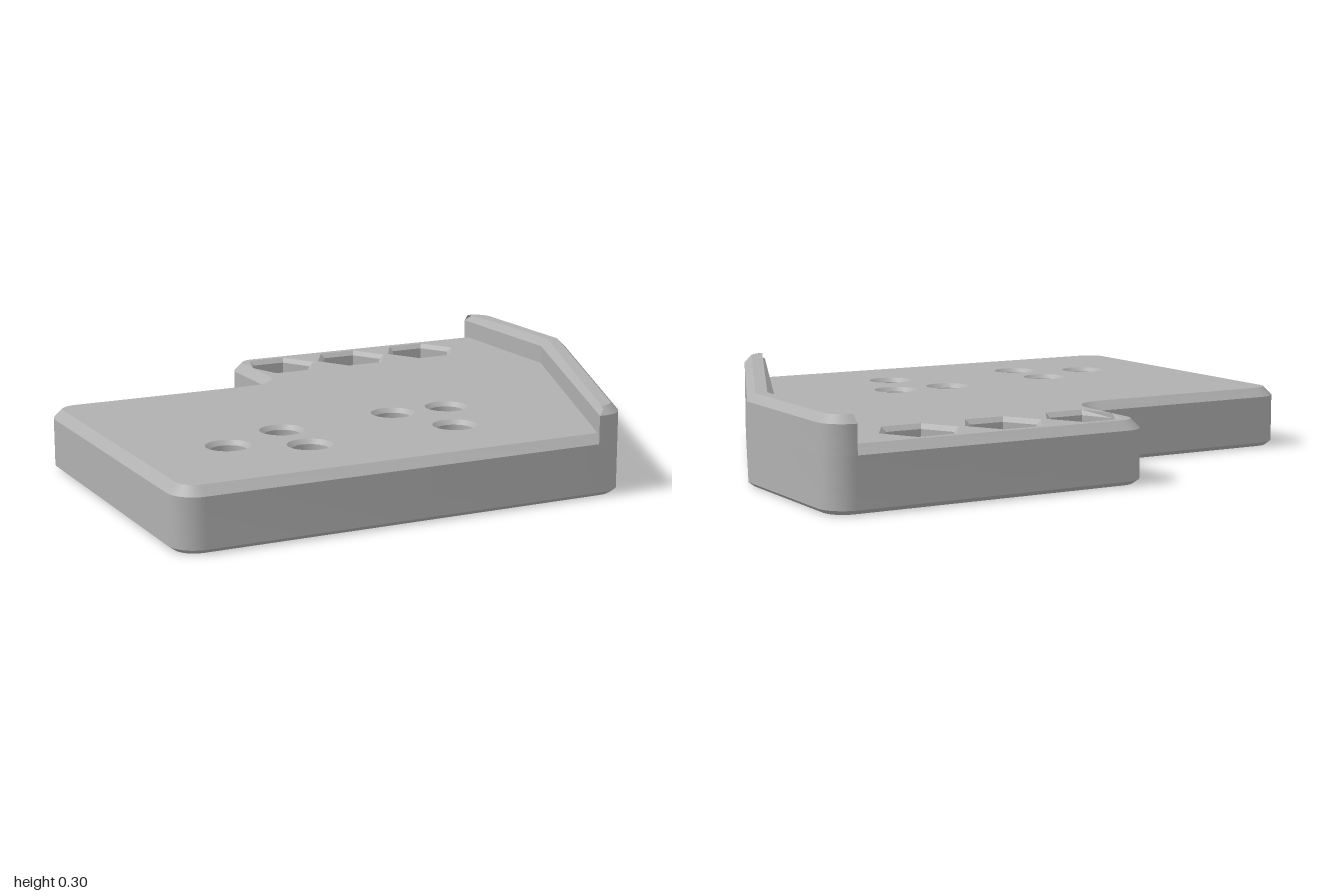
import * as THREE from 'three';
import { toCreasedNormals } from 'three/addons/utils/BufferGeometryUtils.js';

// Closed outline in (x, z) from corners [x, z, fillet radius]
function outline(corners) {
  const pts = [];
  corners.forEach(([x, z, r], i) => {
    const p = new THREE.Vector2(x, z);
    if (!r) return pts.push(p);
    const a = corners.at(i - 1), b = corners[(i + 1) % corners.length];
    const u = p.clone().sub(new THREE.Vector2(a[0], a[1])).normalize();
    const v = new THREE.Vector2(b[0], b[1]).sub(p).normalize();
    const turn = Math.atan2(u.cross(v), u.dot(v));
    const n = new THREE.Vector2(-u.y, u.x).multiplyScalar(Math.sign(turn) * r);
    const start = p.clone().addScaledVector(u, -r * Math.tan(Math.abs(turn) / 2));
    const c = start.clone().add(n);
    for (let k = 0; k <= 8; k++) pts.push(start.clone().rotateAround(c, turn * k / 8));
  });
  return pts;
}

// Move every edge of an outline inwards by d
function inset(pts, d) {
  return pts.map((p, i) => {
    const u = p.clone().sub(pts.at(i - 1)).normalize();
    const v = pts[(i + 1) % pts.length].clone().sub(p).normalize();
    const n = new THREE.Vector2(-u.y - v.y, u.x + v.x);
    return p.clone().addScaledVector(n, d / (1 + u.dot(v)));
  });
}

function ring(x, z, r, sides) {
  return Array.from({ length: sides }, (_, i) => {
    const a = i / sides * Math.PI * 2;
    return new THREE.Vector2(x + r * Math.cos(a), z + r * Math.sin(a));
  });
}

// Collects walls and caps into one surface
class Surface {
  constructor() { this.pos = []; }
  tri(...v) { for (const [p, y] of v) this.pos.push(p.x, y, p.y); }
  // Walls through [points, y] loops: low to high faces out, high to low faces in
  walls(loops) {
    for (let k = 0; k + 1 < loops.length; k++) {
      const [a, ya] = loops[k], [b, yb] = loops[k + 1];
      a.forEach((p, i) => {
        const j = (i + 1) % a.length;
        this.tri([p, ya], [b[i], yb], [b[j], yb]);
        this.tri([p, ya], [b[j], yb], [a[j], ya]);
      });
    }
  }
  cap(contour, holes, y, up) {
    const all = [contour, ...holes].flat();
    for (const f of THREE.ShapeUtils.triangulateShape(contour, holes)) {
      const [a, b, c] = f.map(i => all[i]);
      const facesUp = b.clone().sub(a).cross(c.clone().sub(a)) < 0;
      if (facesUp === up) this.tri([a, y], [b, y], [c, y]);
      else this.tri([a, y], [c, y], [b, y]);
    }
  }
  mesh(name, material) {
    const g = new THREE.BufferGeometry();
    g.setAttribute('position', new THREE.Float32BufferAttribute(this.pos, 3));
    const m = new THREE.Mesh(toCreasedNormals(g, 0.3), material);
    m.name = name;
    return m;
  }
}

export function createModel() {
  const group = new THREE.Group();
  group.name = 'mountingPlate';
  const grey = new THREE.MeshStandardMaterial({ color: 0xb0b0b0 });
  grey.name = 'plain grey';
  const top = 0.21, R = 0.09;

  // Plate with chamfered rims
  const plate = new Surface();
  const edge = outline([
    [-1, -0.4, R], [-0.14, -0.4, R], [-0.14, -0.82, R], [1, -0.82, R],
    [1, -0.22, 0], [0.563, 0.815, R], [-1, 0.815, R],
  ]);
  const bottomEdge = inset(edge, 0.02), topEdge = inset(edge, 0.03);
  plate.walls([[bottomEdge, 0], [edge, 0.015], [edge, 0.18], [topEdge, top]]);
  const topHoles = [], bottomHoles = [];

  // Round through holes, chamfered at both ends
  const holes = [[-0.655, 0.39], [-0.415, 0.28], [-0.415, 0.495], [0.025, 0.23], [0.235, 0.23], [0.13, 0.475]];
  for (const [x, z] of holes) {
    const wide = ring(x, z, 0.075, 32), bore = ring(x, z, 0.061, 32);
    plate.walls([[wide, top], [bore, top - 0.015], [bore, 0.015], [wide, 0]]);
    topHoles.push(wide);
    bottomHoles.push(wide);
  }

  // Hexagonal nut pockets with a bore through the floor
  const floor = 0.09;
  for (const x of [0.003, 0.305, 0.607]) {
    const z = -0.644;
    const mouth = ring(x, z, 0.141, 6), hex = ring(x, z, 0.123, 6);
    for (const p of mouth) p.x = Math.max(p.x, -0.108); // stay inside the rim
    for (const p of hex) p.x = Math.max(p.x, -0.1075);
    const wide = ring(x, z, 0.093, 32), bore = ring(x, z, 0.08, 32);
    plate.walls([[mouth, top], [hex, top - 0.016], [hex, floor]]);
    plate.cap(hex, [wide], floor, true);
    plate.walls([[wide, floor], [bore, floor - 0.013], [bore, 0.013], [wide, 0]]);
    topHoles.push(mouth);
    bottomHoles.push(wide);
  }
  plate.cap(topEdge, topHoles, top, true);
  plate.cap(bottomEdge, bottomHoles, 0, false);
  group.add(plate.mesh('plate', grey));

  // Raised lip along the left and slanted edges
  const lip = new Surface();
  const lipEdge = outline([
    [0.908, -0.82, 0], [1, -0.82, R], [1, -0.22, 0], [0.563, 0.815, R],
    [0.48, 0.815, 0], [0.908, -0.235, 0],
  ]);
  const lipTop = inset(lipEdge, 0.026);
  lip.walls([[lipEdge, 0.18], [lipEdge, 0.275], [lipTop, 0.301]]);
  lip.cap(lipTop, [], 0.301, true);
  group.add(lip.mesh('lip', grey));

  return group;
}
